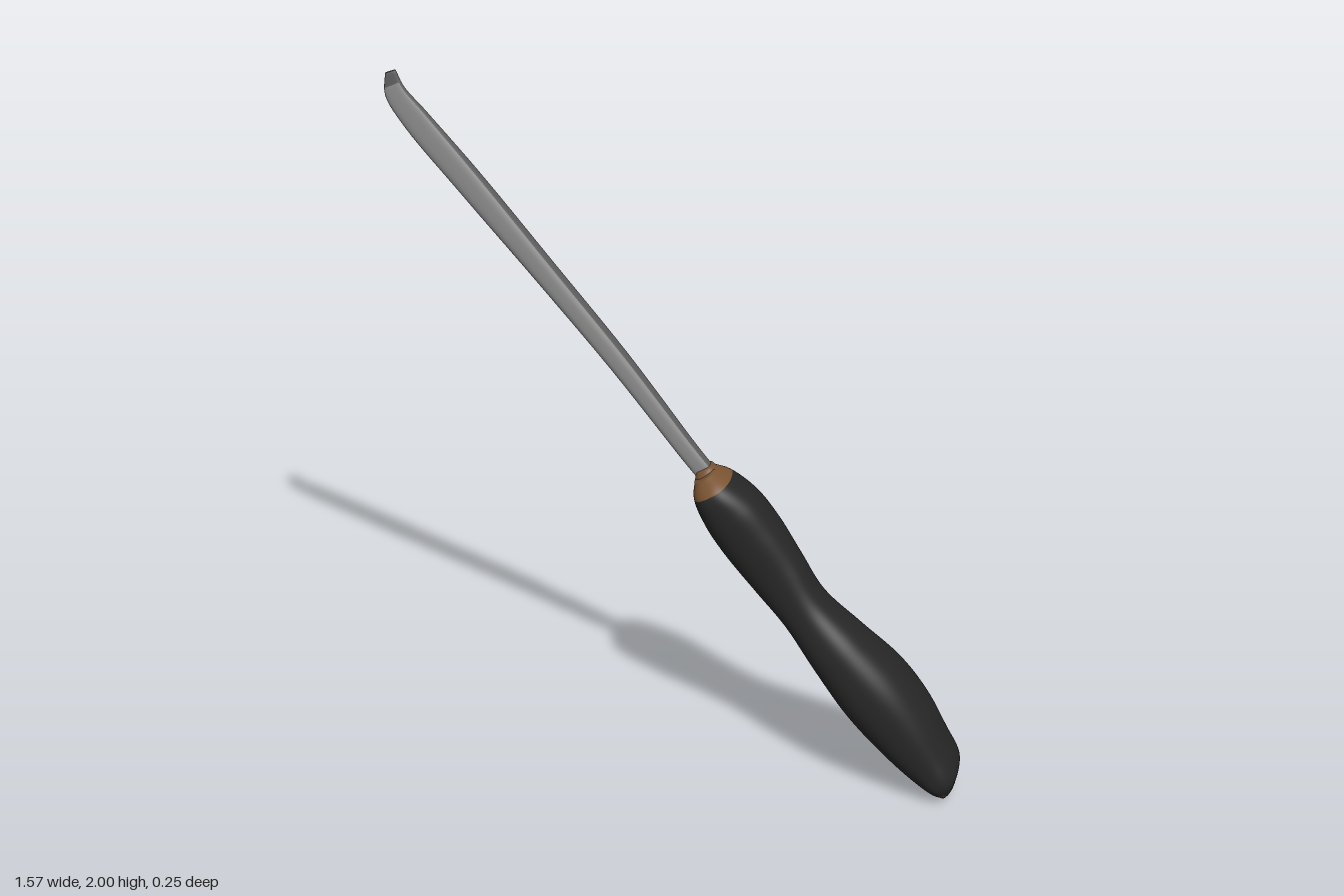
import * as THREE from 'three';

const mat = (name, color) => {
  const m = new THREE.MeshStandardMaterial({ color });
  m.name = name;
  return m;
};

// Lofts rounded sections [lowX, lowY, highX, highY, backZ, frontZ] into a closed solid.
// pick(s, angle) returns a material index; s counts along the sections.
function loft(name, sections, steps, sides, power, materials, pick) {
  const low = new THREE.CatmullRomCurve3(sections.map(s => new THREE.Vector3(s[0], s[1], s[4])));
  const high = new THREE.CatmullRomCurve3(sections.map(s => new THREE.Vector3(s[2], s[3], s[5])));
  const spans = sections.length - 1, rows = spans * steps;
  const positions = [];
  const round = v => Math.sign(v) * Math.pow(Math.abs(v), 2 / power);
  for (let i = -1; i <= rows + 1; i++) {
    const t = Math.min(Math.max(i / rows, 0), 1);
    const a = low.getPoint(t), b = high.getPoint(t);
    const size = i < 0 || i > rows ? 0 : 0.5; // the end rows close the solid
    for (let j = 0; j < sides; j++) {
      const angle = (j / sides) * Math.PI * 2;
      const c = round(Math.cos(angle)) * size, d = round(Math.sin(angle)) * size;
      positions.push(
        (a.x + b.x) / 2 + c * (b.x - a.x),
        (a.y + b.y) / 2 + c * (b.y - a.y),
        (a.z + b.z) / 2 + d * (b.z - a.z));
    }
  }
  const faces = materials.map(() => []);
  for (let i = 0; i < rows + 2; i++) {
    for (let j = 0; j < sides; j++) {
      const k = (j + 1) % sides;
      const p = i * sides + j, q = i * sides + k, r = p + sides, u = q + sides;
      const list = faces[pick((i - 0.5) / steps, ((j + 0.5) / sides) * Math.PI * 2)];
      if (i > 0) list.push(p, q, r);
      if (i < rows + 1) list.push(q, u, r);
      if (i === 0) list.push();
    }
  }
  const geometry = new THREE.BufferGeometry();
  geometry.setAttribute('position', new THREE.Float32BufferAttribute(positions, 3));
  geometry.setIndex(faces.flat());
  let start = 0;
  faces.forEach((f, i) => {
    geometry.addGroup(start, f.length, i);
    start += f.length;
  });
  geometry.computeVertexNormals();
  const mesh = new THREE.Mesh(geometry, materials);
  mesh.name = name;
  return mesh;
}

export function createModel() {
  const black = mat('black grip', 0x262626);
  const wood = mat('bare wood', 0x7a5433);
  const darkWood = mat('dark wood rim', 0x4f331d);
  const steel = mat('steel', 0x8c8c8c);
  const darkSteel = mat('dark steel', 0x5e5e5e);

  // Handle: bare collar, waisted grip, worn oval on the back and a worn butt
  const handle = loft('handle', [
    [0.03, 0.89, 0.08, 0.925, -0.085, 0.005],
    [0.03, 0.845, 0.13, 0.905, -0.115, 0.045],
    [0.06, 0.77, 0.2, 0.855, -0.123, 0.055],
    [0.11, 0.69, 0.26, 0.78, -0.12, 0.053],
    [0.2, 0.58, 0.325, 0.68, -0.1, 0.05],
    [0.285, 0.485, 0.39, 0.575, -0.096, 0.062],
    [0.37, 0.37, 0.5, 0.48, -0.102, 0.1],
    [0.46, 0.245, 0.61, 0.38, -0.12, 0.122],
    [0.55, 0.145, 0.685, 0.28, -0.12, 0.122],
    [0.64, 0.062, 0.74, 0.175, -0.11, 0.115],
    [0.7, 0.02, 0.78, 0.09, -0.1, 0.107],
    [0.735, 0.0, 0.775, 0.05, -0.07, 0.08],
  ], 10, 96, 2.4, [black, wood, darkWood], (s, angle) => {
    if (s < 1.05) return 1;
    const oval = Math.hypot((s - 8.6) / 2.6, (angle - Math.PI * 1.5) / 0.95);
    if (oval < 0.78) return 1;
    if (oval < 1 || s > 11 || (s > 10.4 && Math.cos(angle) < 0)) return 2;
    return 0;
  });

  // Blade: slim bar with a hooked dark tip and dark narrow edges
  const blade = loft('blade', [
    [-0.783, 1.99, -0.755, 2.0, -0.051, -0.039],
    [-0.785, 1.93, -0.735, 1.955, -0.056, -0.035],
    [-0.74, 1.85, -0.682, 1.893, -0.062, -0.032],
    [-0.6, 1.68, -0.547, 1.733, -0.069, -0.025],
    [-0.4, 1.443, -0.349, 1.483, -0.073, -0.021],
    [-0.2, 1.198, -0.153, 1.233, -0.076, -0.022],
    [0.0, 0.935, 0.042, 0.967, -0.07, -0.026],
    [0.055, 0.865, 0.1, 0.895, -0.068, -0.03],
  ], 6, 32, 3, [steel, darkSteel], (s, angle) =>
    s < 0.7 || Math.abs(Math.cos(angle)) > 0.85 ? 1 : 0);

  // Ferrule of bare wood where the blade enters the handle
  const ferrule = loft('ferrule', [
    [0.03, 0.91, 0.075, 0.935, -0.073, -0.022],
    [0.03, 0.885, 0.095, 0.915, -0.09, -0.005],
    [0.04, 0.86, 0.12, 0.9, -0.1, 0.01],
  ], 4, 32, 2.2, [wood], () => 0);

  const group = new THREE.Group();
  group.name = 'sharpening tool';
  group.add(handle, blade, ferrule);
  return group;
}
